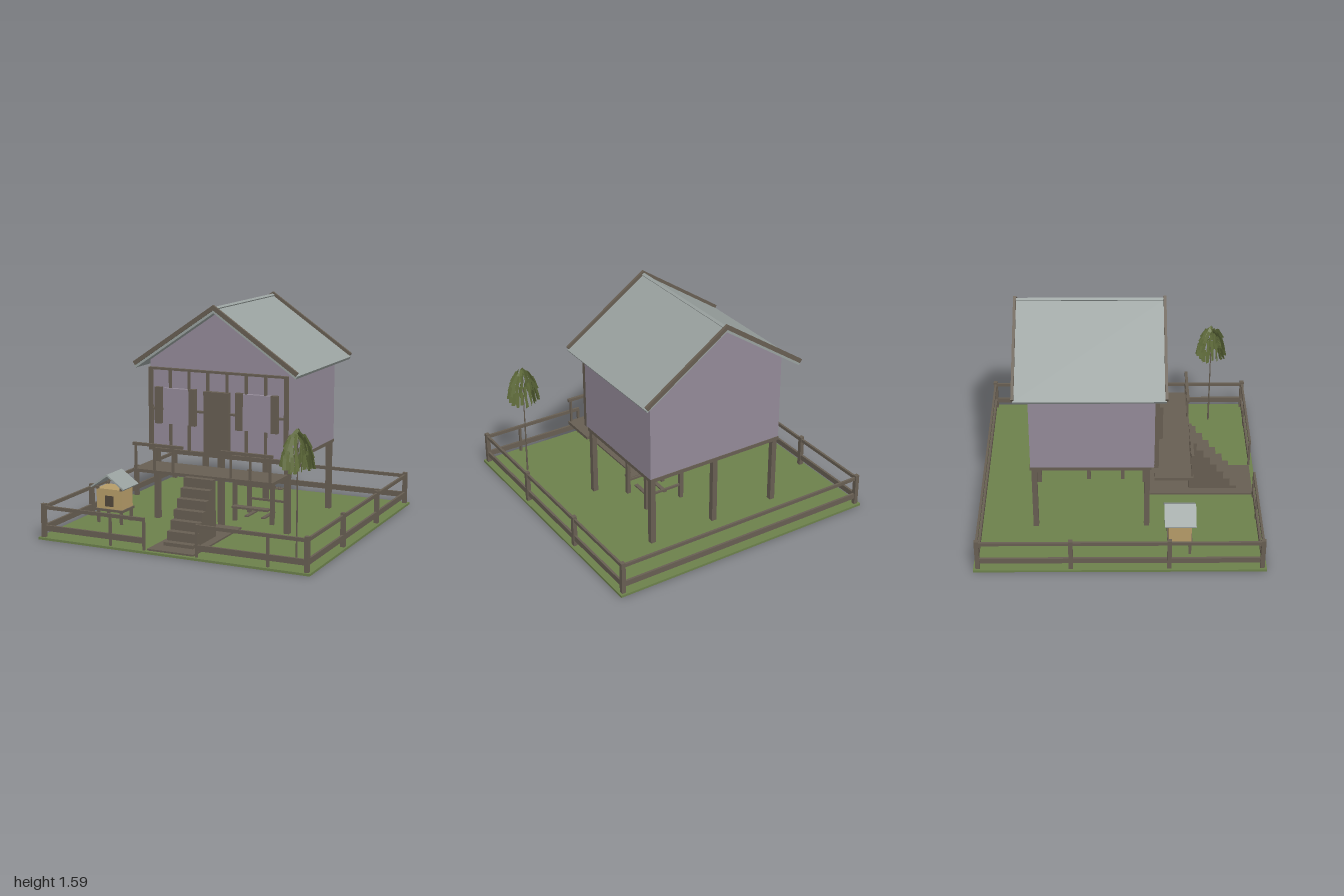
import * as THREE from 'three';

const mat = (color, double) => new THREE.MeshStandardMaterial({ color, side: double ? THREE.DoubleSide : THREE.FrontSide });
const wood = mat(0x675e52), purple = mat(0x938a98), roofGrey = mat(0x99a19f), grass = mat(0x6c804b);
const tan = mat(0xb59c68), dark = mat(0x51473b), leafMat = mat(0x606c3b, true);

function add(parent, name, geometry, material) {
  const m = new THREE.Mesh(geometry, material);
  m.name = name;
  parent.add(m);
  return m;
}

// Box given by its minimum and maximum corners
function box(parent, name, material, x0, x1, y0, y1, z0, z1) {
  const m = add(parent, name, new THREE.BoxGeometry(x1 - x0, y1 - y0, z1 - z0), material);
  m.position.set((x0 + x1) / 2, (y0 + y1) / 2, (z0 + z1) / 2);
  return m;
}

// Upright post centred on x, z
const post = (parent, name, x, z, y0, y1, w, material = wood) =>
  box(parent, name, material, x - w / 2, x + w / 2, y0, y1, z - w / 2, z + w / 2);

// Outline in x, y extruded from z0 to z1
function prism(parent, name, material, points, z0, z1) {
  const shape = new THREE.Shape(points.map(p => new THREE.Vector2(...p)));
  const g = new THREE.ExtrudeGeometry(shape, { depth: z1 - z0, bevelEnabled: false });
  g.translate(0, 0, z0);
  return add(parent, name, g, material);
}

// Two sloping slabs meeting in a ridge, ends cut square to the slope
function chevron(parent, name, material, halfW, top, slope, t, z0, z1) {
  const eave = top - halfW * slope, dx = t * slope / (1 + slope * slope), dy = t / (1 + slope * slope);
  return prism(parent, name, material, [[0, top], [-halfW, eave], [-halfW + dx, eave - dy],
    [0, top - t], [halfW - dx, eave - dy], [halfW, eave]], z0, z1);
}

function group(parent, name) {
  const g = new THREE.Group();
  g.name = name;
  parent.add(g);
  return g;
}

function buildFence(root) {
  const f = group(root, 'fence');
  const e = 0.97;
  for (const s of [-1, 1]) {
    for (const z of [-e, -0.335, 0.335, e]) post(f, 'fencePost', s * e, z, 0.015, 0.25, 0.03);
    for (const [y0, y1] of [[0.06, 0.1], [0.212, 0.236]]) {
      box(f, 'sideRail', wood, s * e - 0.008, s * e + 0.008, y0, y1, -e, e);
      const a = s * 0.19, b = s * e;
      box(f, 'frontRail', wood, Math.min(a, b), Math.max(a, b), y0, y1, e - 0.008, e + 0.008);
    }
    post(f, 'gatePost', s * 0.195, e, 0.015, 0.225, 0.016);
  }
  for (const x of [-0.45, 0.7]) post(f, 'frontFencePost', x, e, 0.015, 0.225, 0.016);
  for (const [y0, y1] of [[0.06, 0.1], [0.212, 0.236]]) box(f, 'backRail', wood, -e, e, y0, y1, -e - 0.008, -e + 0.008);
}

function buildHouse(root) {
  const h = group(root, 'house');
  // Stilts and floor
  for (const x of [-0.505, 0, 0.505])
    for (const z of [0.19, -0.59]) post(h, 'stilt', x, z, 0.015, 0.515, 0.038);
  box(h, 'floor', wood, -0.53, 0.53, 0.51, 0.537, -0.62, 0.22);
  // Walls and roof
  prism(h, 'walls', purple, [[-0.53, 0.535], [0.53, 0.535], [0.53, 1.17], [0, 1.53], [-0.53, 1.17]], -0.615, 0.238);
  chevron(h, 'roof', roofGrey, 0.622, 1.562, 0.68, 0.03, -0.71, 0.31);
  chevron(h, 'ridgeCap', roofGrey, 0.016, 1.574, 0.68, 0.02, -0.7, 0.3);
  for (const z of [-0.719, 0.3]) chevron(h, 'bargeBoard', wood, 0.626, 1.588, 0.68, 0.036, z, z + 0.019);

  // Timber framing of the front wall
  const f = group(h, 'frontFraming');
  for (const [y0, y1] of [[0.53, 0.545], [0.822, 0.836], [1.108, 1.124]])
    box(f, 'frameRail', wood, -0.515, 0.515, y0, y1, 0.238, 0.262);
  for (const s of [-1, 1]) {
    box(f, 'cornerStud', wood, s * 0.518 - 0.012, s * 0.518 + 0.012, 0.53, 1.124, 0.236, 0.268);
    for (const x of [0.073, 0.219, 0.365]) box(f, 'stud', wood, s * x - 0.007, s * x + 0.007, 0.54, 1.115, 0.238, 0.262);
    box(f, 'window', purple, s * 0.303 - 0.107, s * 0.303 + 0.107, 0.73, 0.982, 0.238, 0.272);
    for (const x of [0.178, 0.444]) box(f, 'shutter', wood, s * x - 0.025, s * x + 0.025, 0.73, 0.99, 0.262, 0.294);
  }
  box(f, 'door', wood, -0.095, 0.095, 0.53, 0.98, 0.238, 0.278);
}

function buildPorch(root) {
  const p = group(root, 'porch');
  box(p, 'deck', wood, -0.53, 0.53, 0.422, 0.444, 0.24, 0.51);
  for (const s of [-1, 1]) {
    for (const x of [0.509, 0.363, 0.219]) post(p, 'baluster', s * x, 0.5, 0.44, 0.615, 0.014);
    box(p, 'handrail', wood, s * 0.337 - 0.193, s * 0.337 + 0.193, 0.61, 0.63, 0.49, 0.51);
  }
  // Solid stairs: each step reaches the ground
  const n = 7;
  for (let i = 0; i < n; i++) {
    const z = 0.555 + i * 0.05;
    box(p, 'step', wood, -0.109, 0.109, 0.015, 0.43 - i * 0.063, z - 0.05, z);
  }
  box(p, 'path', wood, -0.17, 0.17, 0.012, 0.028, 0.22, 0.97);
}

function buildHut(root) {
  const k = group(root, 'animalHut');
  k.position.set(-0.735, 0, 0.412);
  box(k, 'hutBody', tan, -0.102, 0.102, 0.12, 0.266, -0.078, 0.078);
  box(k, 'hutFloor', wood, -0.112, 0.112, 0.105, 0.122, -0.086, 0.086);
  box(k, 'hutDoor', dark, -0.034, 0.034, 0.14, 0.218, 0.07, 0.08);
  for (const x of [-0.092, 0.092])
    for (const z of [-0.07, 0.07]) {
      post(k, 'hutLeg', x, z, 0.015, 0.11, 0.018);
      post(k, 'hutCorner', x * 1.05, z * 1.05, 0.262, 0.284, 0.02);
    }
  chevron(k, 'hutRoof', roofGrey, 0.136, 0.378, 0.7, 0.014, -0.108, 0.108);
}

function buildLoom(root) {
  const l = group(root, 'loom');
  for (const x of [0.03, 0.32])
    for (const z of [0.025, -0.225]) post(l, 'loomPost', x, z, 0.015, 0.335, 0.027);
  for (const z of [0.025, -0.225]) {
    box(l, 'topBeam', wood, 0.03, 0.32, 0.278, 0.296, z - 0.008, z + 0.008);
    box(l, 'lowBeam', wood, 0.03, 0.32, 0.115, 0.13, z - 0.008, z + 0.008);
  }
  box(l, 'bench', wood, 0.03, 0.31, 0.12, 0.134, 0.03, 0.088);
  box(l, 'reed', wood, 0.03, 0.31, 0.222, 0.23, -0.215, -0.17);
  for (let i = 0; i < 13; i++) post(l, 'peg', 0.045 + i * 0.021, -0.18, 0.222, 0.245, 0.004);
  for (const x of [0.12, 0.25]) box(l, 'treadle', wood, x - 0.014, x + 0.014, 0.05, 0.06, -0.16, 0.03);
}

function buildTree(root) {
  const t = group(root, 'tree');
  t.position.set(0.787, 0, 0.7);
  const trunk = add(t, 'trunk', new THREE.CylinderGeometry(0.002, 0.007, 0.8, 6), wood);
  trunk.position.y = 0.41;
  // Rings of leaf cards: count, radius, height, outward tilt
  const rings = [[8, 0.03, 0.82, 0.75], [13, 0.065, 0.785, 0.5], [17, 0.087, 0.725, 0.3], [20, 0.1, 0.665, 0.2], [14, 0.075, 0.65, 0.15]];
  let seed = 7;
  const rnd = () => (seed = (seed * 16807) % 2147483647) / 2147483647 - 0.5;
  const card = new THREE.PlaneGeometry(0.026, 0.095);
  rings.forEach(([n, r, y, tilt], k) => {
    for (let i = 0; i < n; i++) {
      const leaf = add(t, 'leaf', card, leafMat);
      const a = (i + k * 0.4) / n * Math.PI * 2;
      const y2 = y + rnd() * 0.035;
      leaf.position.set(Math.sin(a) * r, y2, Math.cos(a) * r);
      leaf.rotation.order = 'YXZ';
      leaf.rotation.set(-tilt, a, rnd() * 0.3);
      leaf.rotateY(0.9 + rnd() * 0.6);
    }
  });
}

export function createModel() {
  const root = new THREE.Group();
  root.name = 'stiltHouse';
  box(root, 'lawn', grass, -1, 1, 0, 0.016, -1, 1);
  buildFence(root);
  buildHouse(root);
  buildPorch(root);
  buildHut(root);
  buildLoom(root);
  buildTree(root);
  return root;
}
